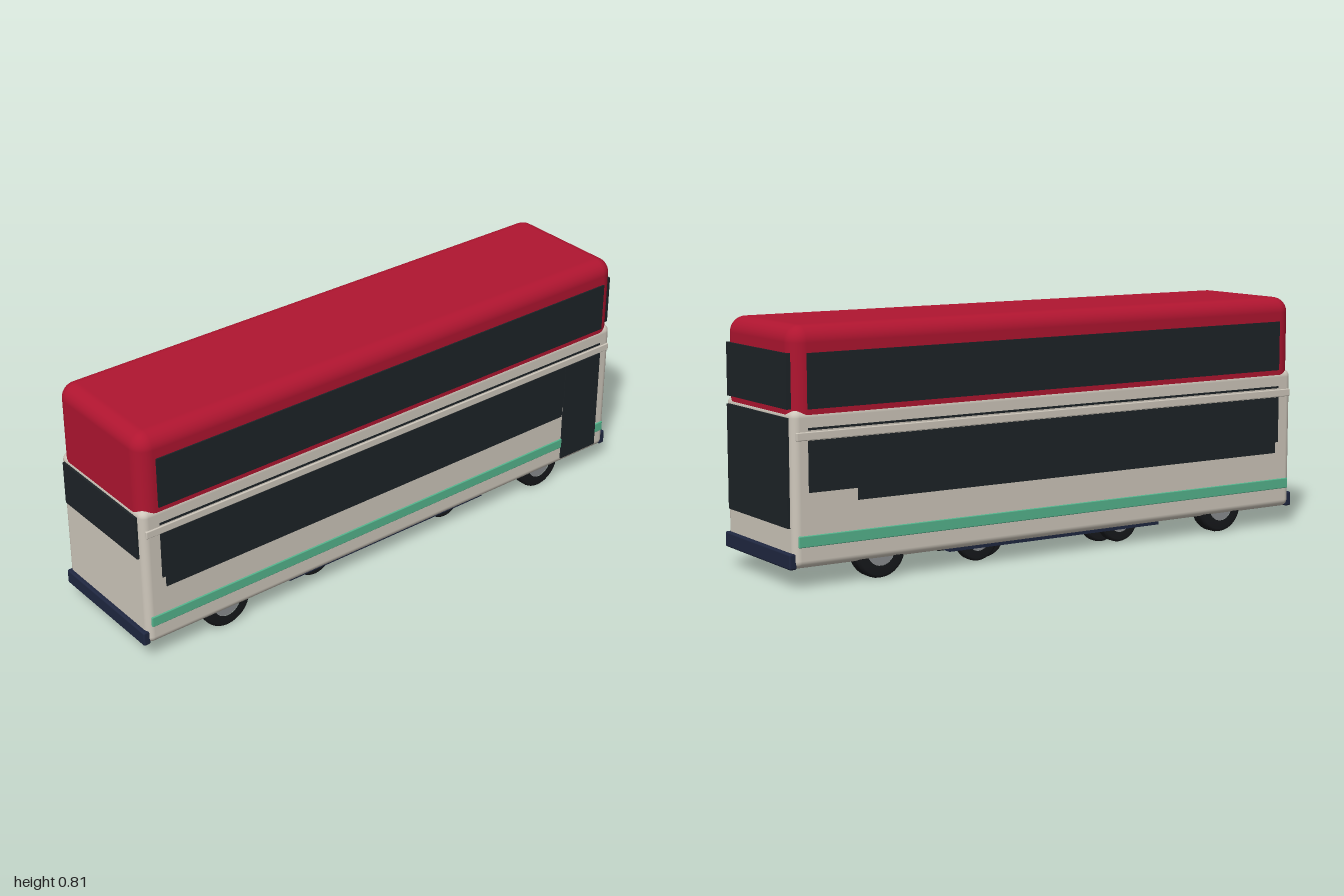
import * as THREE from 'three';
import { RoundedBoxGeometry } from 'three/addons/geometries/RoundedBoxGeometry.js';

const material = (color) => new THREE.MeshStandardMaterial({ color });

export function createModel() {
  const bus = new THREE.Group();
  bus.name = 'doubleDeckerBus';

  const red = material(0xb01530);
  const cream = material(0xcfc8bc);
  const green = material(0x55b58e);
  const navy = material(0x1f2740);
  const glass = material(0x1d2327);
  const rubber = material(0x17191c);
  const metal = material(0x8b8e90);

  function add(name, geometry, mat, parent = bus) {
    const mesh = new THREE.Mesh(geometry, mat);
    mesh.name = name;
    parent.add(mesh);
    return mesh;
  }

  // Box given by its limits on each axis; a radius rounds the edges
  function block(name, mat, [x0, x1], [y0, y1], [z0, z1], radius = 0) {
    const size = [x1 - x0, y1 - y0, z1 - z0];
    const geometry = radius
      ? new RoundedBoxGeometry(...size, 6, radius)
      : new THREE.BoxGeometry(...size);
    const mesh = add(name, geometry, mat);
    mesh.position.set((x0 + x1) / 2, (y0 + y1) / 2, (z0 + z1) / 2);
    return mesh;
  }

  // Body shells: the lower one stands slightly proud of the upper one
  block('upperBody', red, [-0.985, 0.985], [0.09, 0.81], [-0.232, 0.232], 0.052);
  block('lowerBody', cream, [-0.9865, 0.9865], [0.065, 0.555], [-0.2335, 0.2335], 0.025);

  // Underbody tray with a cross beam at each end
  block('underbodyTray', navy, [-0.42, 0.42], [0.054, 0.08], [-0.21, 0.21]);
  for (const s of [-1, 1]) {
    block('underbodyBeam', rubber, [s * 0.425 - 0.012, s * 0.425 + 0.012], [0.051, 0.08], [-0.165, 0.165]);
  }

  // Side glazing, belt rail and stripe, the same on both sides
  for (const s of [-1, 1]) {
    const side = (depth) => (s > 0 ? [0.225, depth] : [-depth, -0.225]);
    block('upperSideWindow', glass, [-0.925, 0.935], [0.556, 0.727], side(0.237));
    block('lowerSideWindow', glass, [-0.925, 0.935], [0.3, 0.46], side(0.237));
    block('deepSideWindow', glass, [-0.912, 0.765], [0.262, 0.46], side(0.237));
    block('beltLine', glass, [-0.925, 0.935], [0.492, 0.499], side(0.2355));
    block('beltRail', cream, [-0.975, 0.975], [0.461, 0.487], side(0.238), 0.003);
    block('sideStripe', green, [-0.972, 0.972], [0.132, 0.168], side(0.238), 0.003);
  }

  // Passenger door on one side only
  block('passengerDoor', glass, [0.77, 0.935], [0.088, 0.46], [0.225, 0.239]);

  // End glazing
  block('windscreen', glass, [0.97, 0.994], [0.19, 0.53], [-0.207, 0.207]);
  block('upperFrontWindow', glass, [0.97, 0.992], [0.556, 0.727], [-0.207, 0.207]);
  block('rearWindow', glass, [-0.994, -0.97], [0.38, 0.53], [-0.207, 0.207]);

  // Bumpers
  block('frontBumper', navy, [0.975, 1], [0.064, 0.114], [-0.226, 0.226], 0.006);
  block('rearBumper', navy, [-1, -0.975], [0.064, 0.114], [-0.226, 0.226], 0.006);

  // Wheel: a lathed tyre with rounded shoulders and a hub disc on each face
  function wheel(name, x, z, radius, width) {
    const group = new THREE.Group();
    group.name = name;
    const w = width / 2;
    const profile = [
      [radius * 0.55, -w], [radius * 0.88, -w], [radius * 0.97, -w * 0.85], [radius, -w * 0.55],
      [radius, w * 0.55], [radius * 0.97, w * 0.85], [radius * 0.88, w], [radius * 0.55, w],
    ].map(([r, y]) => new THREE.Vector2(r, y));
    const tyre = add('tyre', new THREE.LatheGeometry(profile, 32), rubber, group);
    const hub = add('hub', new THREE.CylinderGeometry(radius * 0.56, radius * 0.56, width * 0.9, 24), metal, group);
    const cap = add('hubCap', new THREE.CylinderGeometry(radius * 0.22, radius * 0.22, width, 16), rubber, group);
    for (const part of [tyre, hub, cap]) part.rotation.x = Math.PI / 2;
    group.position.set(x, radius + 0.002, z);
    bus.add(group);
  }

  // Outer road wheels and inner close-set pairs
  for (const sx of [-1, 1]) {
    for (const sz of [-1, 1]) {
      wheel('outerWheel', sx * 0.68, sz * 0.197, 0.09, 0.056);
      wheel('innerWheel', sx * 0.285, sz * 0.152, 0.075, 0.04);
      wheel('innerWheel', sx * 0.235, sz * 0.118, 0.075, 0.036);
    }
    const axle = add('axle', new THREE.CylinderGeometry(0.012, 0.012, 0.36, 12), metal);
    axle.rotation.x = Math.PI / 2;
    axle.position.set(sx * 0.68, 0.09, 0);
  }

  return bus;
}
